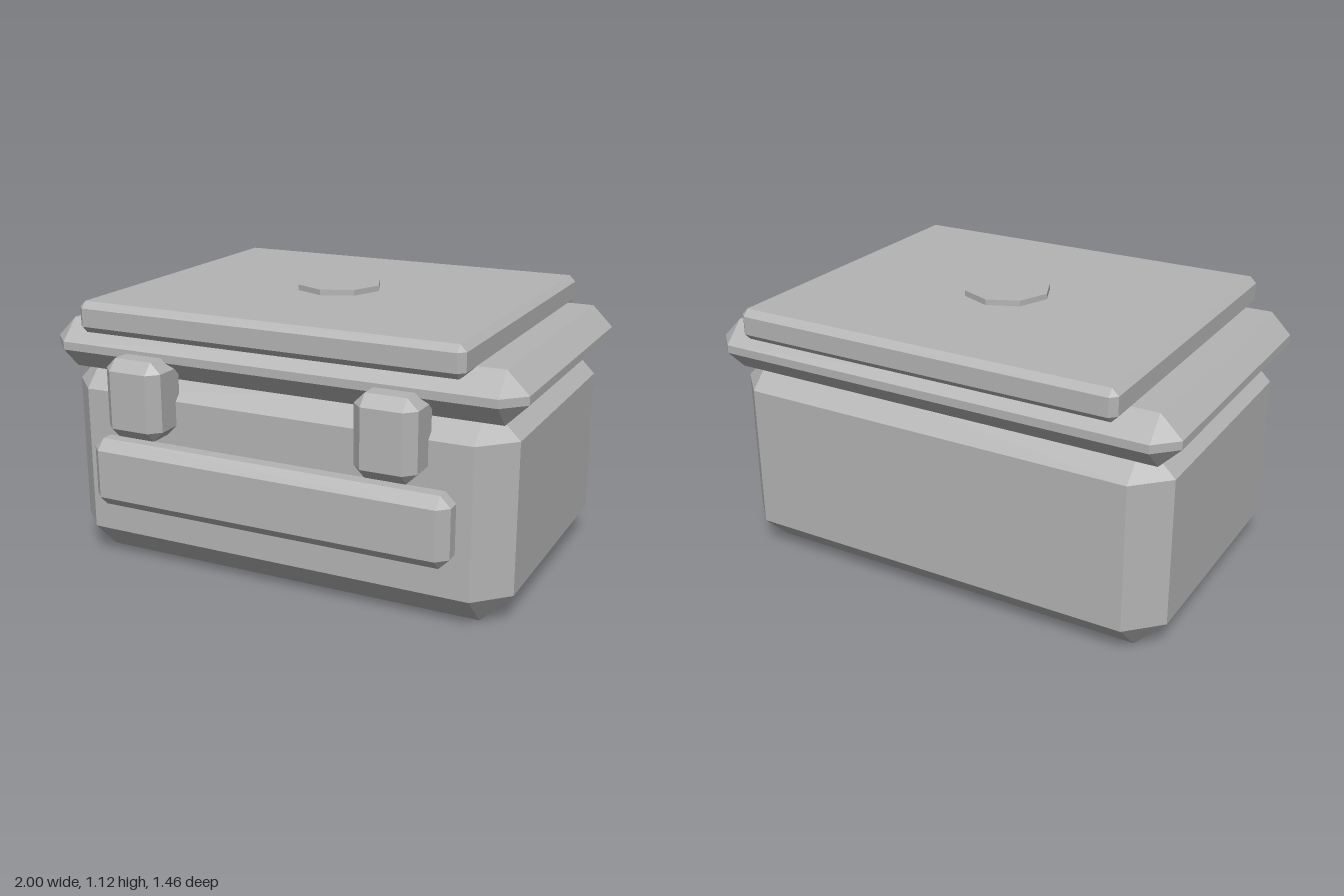
import * as THREE from 'three';
import { ConvexGeometry } from 'three/addons/geometries/ConvexGeometry.js';

// Box with every edge cut at 45 degrees, given by its min/max extents
function chamferBox(min, max, c) {
  const half = min.map((v, i) => (max[i] - v) / 2);
  const points = [];
  for (const sx of [-1, 1]) for (const sy of [-1, 1]) for (const sz of [-1, 1]) {
    for (let axis = 0; axis < 3; axis++) {
      const [x, y, z] = half.map((h, i) => (i === axis ? h : h - c));
      points.push(new THREE.Vector3(sx * x, sy * y, sz * z));
    }
  }
  const geometry = new ConvexGeometry(points);
  geometry.translate(...min.map((v, i) => (v + max[i]) / 2));
  return geometry;
}

export function createModel() {
  const model = new THREE.Group();
  model.name = 'coolBox';
  const grey = new THREE.MeshStandardMaterial({ color: 0xb4b4b4 });
  grey.name = 'grey';
  grey.flatShading = true;

  const add = (name, geometry) => {
    const mesh = new THREE.Mesh(geometry, grey);
    mesh.name = name;
    model.add(mesh);
    return mesh;
  };

  // Main container, its top edge tucked under the lid
  add('body', chamferBox([-0.955, 0, -0.66], [0.955, 0.855, 0.59], 0.128));

  // Wide rim and the thin panel lying on it
  add('lidRim', chamferBox([-1, 0.8, -0.69], [1, 1.003, 0.615], 0.085));
  add('lidPanel', chamferBox([-0.805, 0.977, -0.73], [0.805, 1.102, 0.66], 0.026));

  // Octagonal button on the lid
  add('lidButton', new THREE.CylinderGeometry(0.177, 0.177, 0.045, 8))
    .position.set(0, 1.1025, -0.037);

  // Raised plate on the front
  add('frontPlate', chamferBox([-0.767, 0.264, 0.53], [0.767, 0.546, 0.684], 0.042));

  // Pair of latches
  for (const [name, side] of [['leftLatch', 1], ['rightLatch', -1]]) {
    const x = side * 0.531;
    add(name, chamferBox([x - 0.124, 0.585, 0.52], [x + 0.124, 0.903, 0.73], 0.043));
  }
  return model;
}
